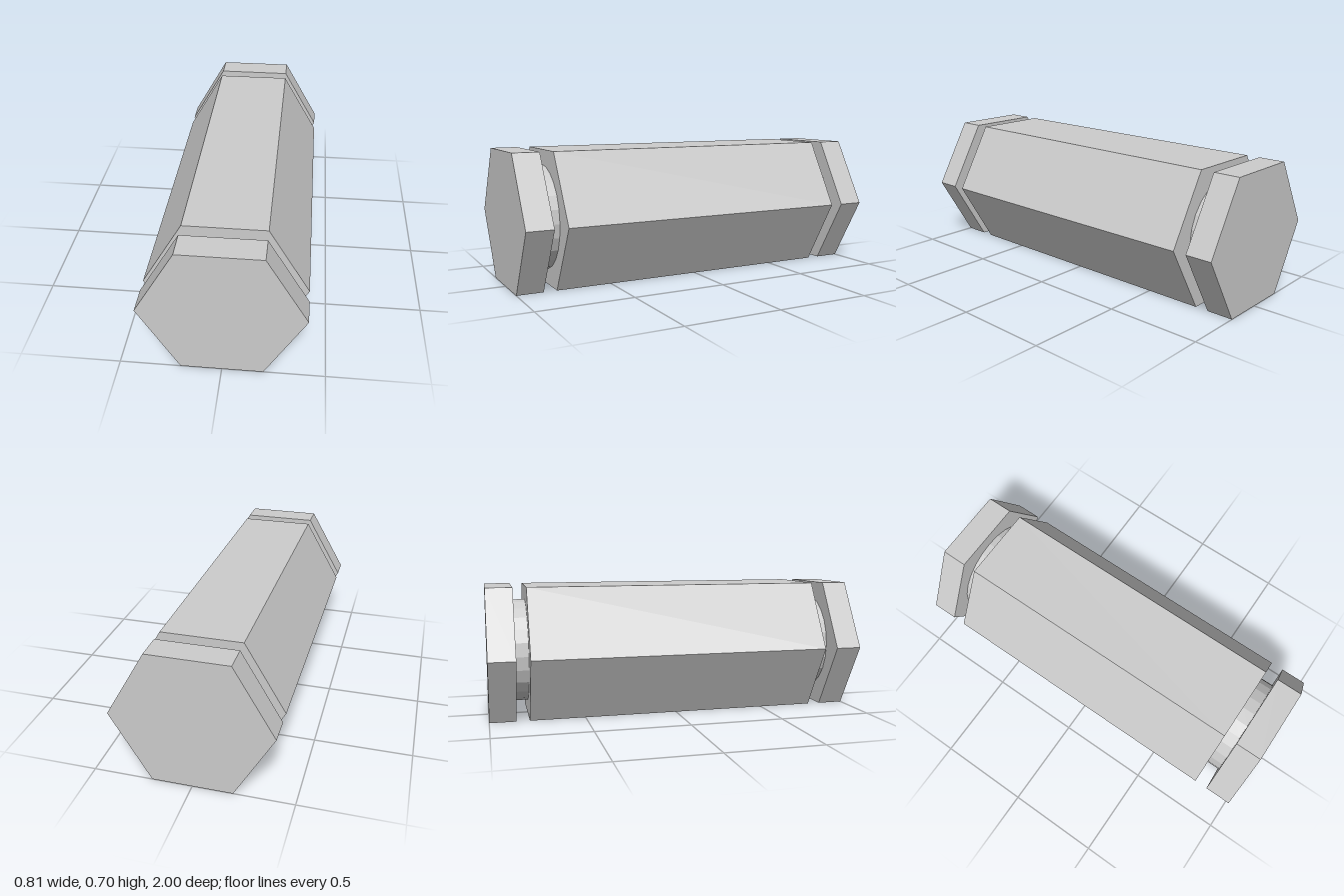
import * as THREE from 'three';

const HEX_RADIUS = 0.403;
const AXIS_Y = HEX_RADIUS * Math.sqrt(3) / 2; // rests on a flat side
const NECK_RADIUS = 0.273;
const GROOVE_IN = 0.793;
const GROOVE_OUT = 0.862;

export function createModel() {
  const group = new THREE.Group();
  group.name = 'groovedHexBar';
  const material = new THREE.MeshStandardMaterial({ color: 0xcccccc, flatShading: true });

  // Prism lying along z between z0 and z1
  function addPrism(name, radius, sides, z0, z1, turn = 0, open = false) {
    const geometry = new THREE.CylinderGeometry(radius, radius, z1 - z0, sides, 1, open);
    geometry.rotateY(turn).rotateX(Math.PI / 2);
    const mesh = new THREE.Mesh(geometry, material);
    mesh.name = name;
    mesh.position.set(0, AXIS_Y, (z0 + z1) / 2);
    group.add(mesh);
  }

  // Long hexagonal body, corners pointing to both sides
  addPrism('body', HEX_RADIUS, 6, -GROOVE_IN, GROOVE_IN, Math.PI / 6);

  // Round groove necks and hexagonal end caps
  addPrism('frontNeck', NECK_RADIUS, 24, GROOVE_IN, GROOVE_OUT, 0, true);
  addPrism('backNeck', NECK_RADIUS, 24, -GROOVE_OUT, -GROOVE_IN, 0, true);
  addPrism('frontCap', HEX_RADIUS, 6, GROOVE_OUT, 1, Math.PI / 6);
  addPrism('backCap', HEX_RADIUS, 6, -1, -GROOVE_OUT, Math.PI / 6);

  return group;
}
